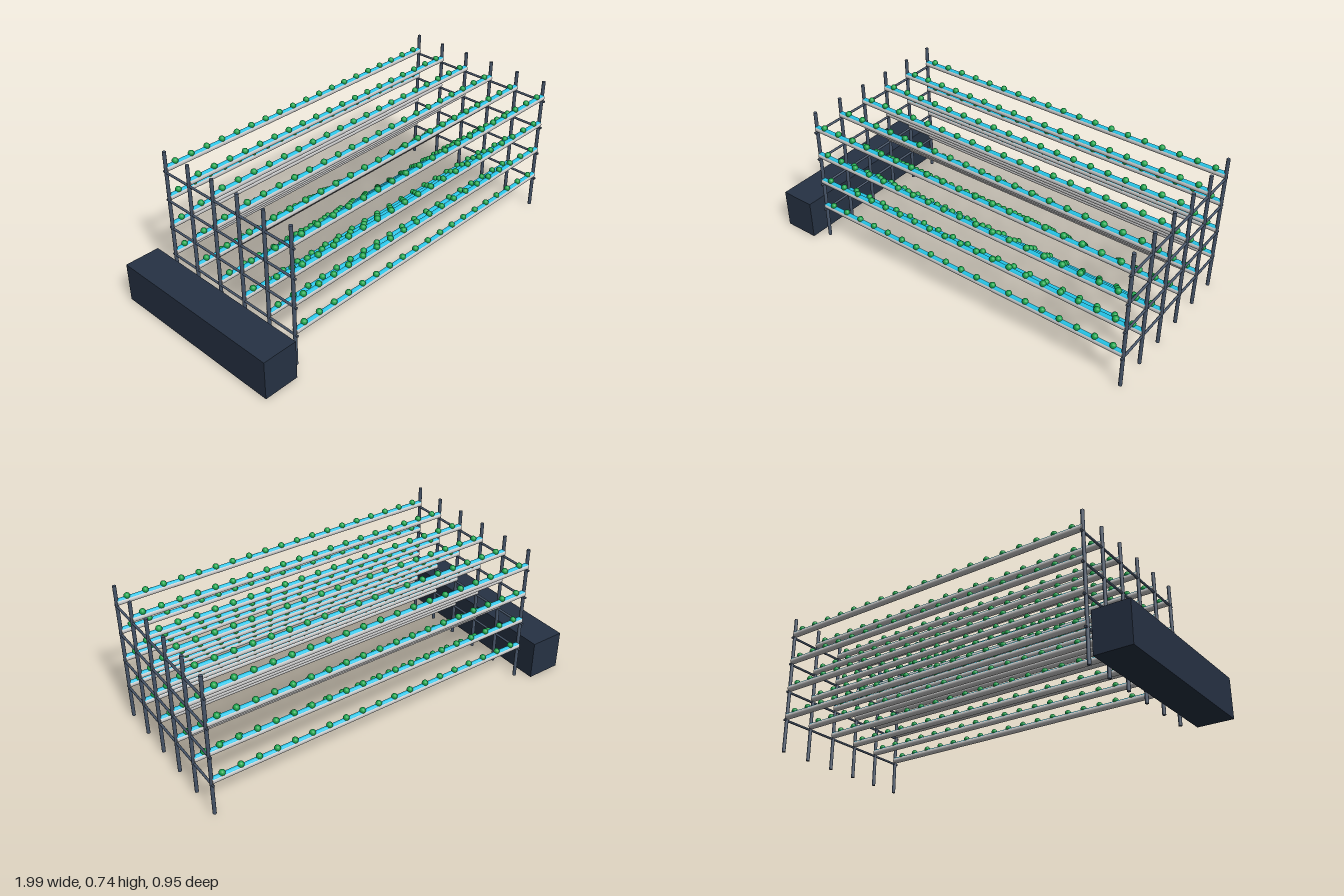
import * as THREE from 'three';

export function createModel() {
  const model = new THREE.Group();
  const paint = (color) => new THREE.MeshStandardMaterial({ color });
  const steel = paint(0x475569), tankPaint = paint(0x263244), pipePaint = paint(0xe5e5e5);
  const waterPaint = paint(0x22c3e6), leafPaint = paint(0x16a34a);

  const add = (parent, name, geometry, material, x, y, z) => {
    const mesh = new THREE.Mesh(geometry, material);
    mesh.name = name;
    mesh.position.set(x, y, z);
    parent.add(mesh);
    return mesh;
  };

  const ends = [-0.765, 0.985];
  const rows = Array.from({ length: 6 }, (_, i) => -0.411 + i * 0.1644);
  const levels = Array.from({ length: 4 }, (_, i) => 0.187 + i * 0.1535);
  const length = ends[1] - ends[0];
  const middle = (ends[0] + ends[1]) / 2;

  // Reservoir along the left end of the rack
  add(model, 'reservoir', new THREE.BoxGeometry(0.18, 0.203, 0.95), tankPaint, -0.91, 0.1015, 0);

  // End frames: upright posts and the crossbars carrying the pipes
  const post = new THREE.CylinderGeometry(0.009, 0.009, 0.737, 12);
  const bar = new THREE.CylinderGeometry(0.006, 0.006, 0.856, 10).rotateX(Math.PI / 2);
  for (const x of ends) {
    const frame = new THREE.Group();
    frame.name = 'endFrame';
    model.add(frame);
    for (const z of rows) add(frame, 'post', post, steel, x, 0.3685, z);
    for (const y of levels) add(frame, 'crossbar', bar, steel, x, y - 0.02, 0);
  }

  // Growing channels: pipe, water showing along its top, and a row of plants
  const pipe = new THREE.CylinderGeometry(0.0155, 0.0155, length, 16).rotateZ(Math.PI / 2);
  const water = new THREE.CylinderGeometry(0.0125, 0.0125, length - 0.004, 14).rotateZ(Math.PI / 2);
  const plant = new THREE.SphereGeometry(0.0155, 10, 8);
  for (const y of levels) {
    for (const z of rows) {
      const channel = new THREE.Group();
      channel.name = 'growingChannel';
      channel.position.set(0, y, z);
      model.add(channel);
      add(channel, 'pipe', pipe, pipePaint, middle, 0, 0);
      add(channel, 'water', water, waterPaint, middle, 0.0055, 0);
      for (let i = 0; i < 19; i++) add(channel, 'plant', plant, leafPaint, -0.711 + i * 0.0913, 0.0195, 0);
    }
  }
  return model;
}
